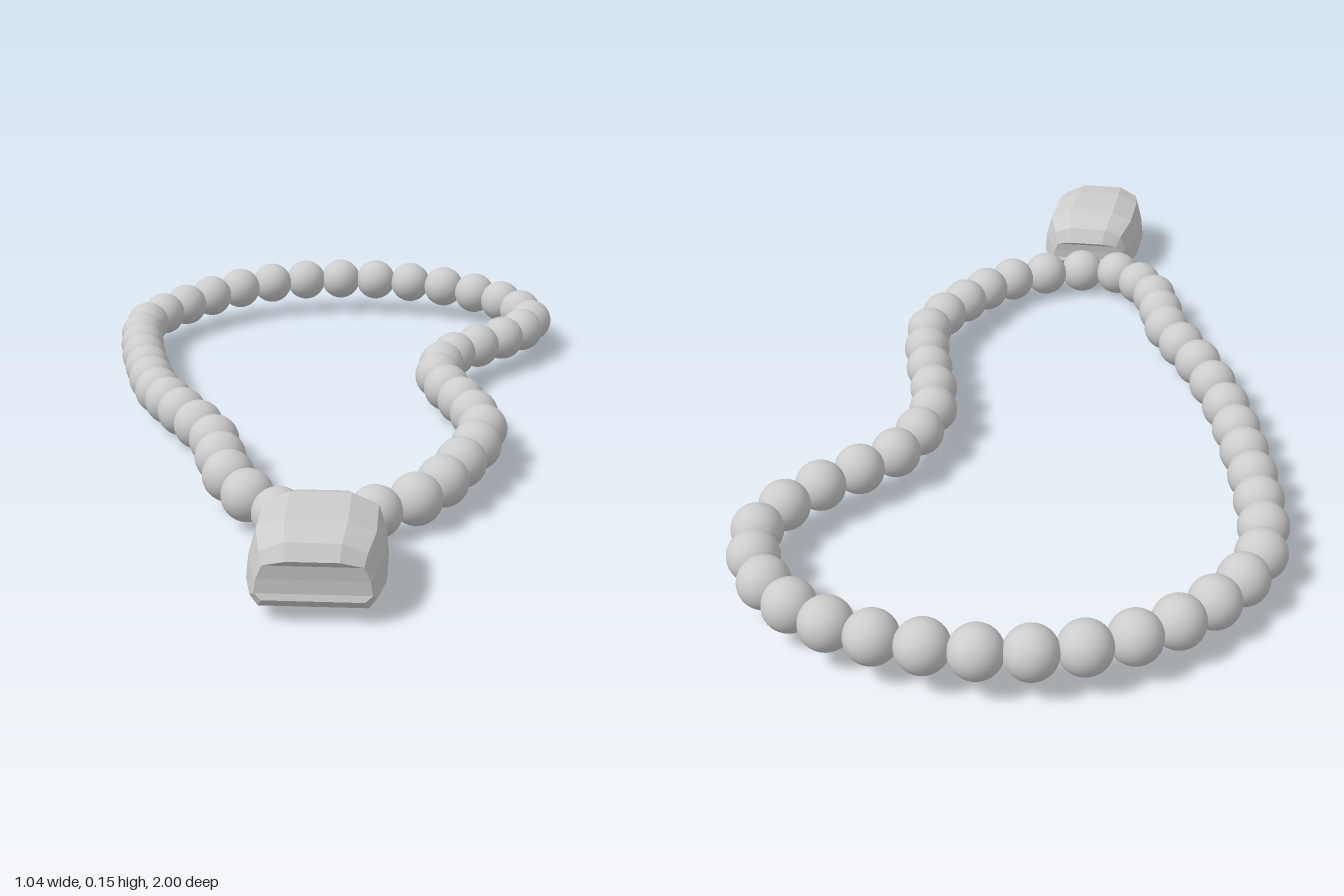
import * as THREE from 'three';

const BEAD_COUNT = 45;
const BEAD_RADIUS = 0.05;

// Path of the string: x, y, z
const PATH = [
  [0.045, 0.05, 0.655], [0.2, 0.057, 0.565], [0.285, 0.07, 0.4], [0.33, 0.078, 0.225],
  [0.29, 0.078, 0.045], [0.24, 0.077, -0.135], [0.275, 0.073, -0.315], [0.39, 0.072, -0.46],
  [0.465, 0.07, -0.62], [0.4, 0.073, -0.795], [0.26, 0.08, -0.905], [0.08, 0.085, -0.95],
  [-0.105, 0.085, -0.94], [-0.27, 0.08, -0.865], [-0.395, 0.07, -0.73], [-0.47, 0.067, -0.56],
  [-0.455, 0.067, -0.375], [-0.415, 0.068, -0.195], [-0.365, 0.07, -0.02], [-0.29, 0.08, 0.15],
  [-0.2, 0.078, 0.32], [-0.15, 0.07, 0.5], [-0.045, 0.055, 0.645],
];

// Half profile of the clasp: across (of half width), up (of height)
const RIGHT = [[0.87, 0], [1, 0.15], [0.96, 0.5], [0.85, 0.84], [0.45, 1]];
const PROFILE = [...RIGHT, ...RIGHT.map(([u, v]) => [-u, v]).reverse()];

// Sections of the clasp: z, half width, bottom, top, how far the sides are swept back
const SECTIONS = [
  [0.705, 0.085, 0.045, 0.1, 0.015],
  [0.722, 0.097, 0.028, 0.132, 0.01],
  [0.785, 0.117, 0.025, 0.153, 0],
  [0.908, 0.117, 0.025, 0.153, 0],
  [0.984, 0.104, 0.027, 0.142, -0.01],
  [1.0, 0.097, 0.042, 0.115, -0.014],
];

function claspGeometry() {
  const n = PROFILE.length;
  const positions = [];
  const index = [];
  for (const [z, half, bottom, top, sweep] of SECTIONS) {
    for (const [u, v] of PROFILE) {
      const side = Math.max(0, (Math.abs(u) - 0.45) / 0.55);
      positions.push(u * half, bottom + v * (top - bottom), z + sweep * side);
    }
  }
  const last = (SECTIONS.length - 1) * n;
  for (let s = 0; s < last; s += n) {
    for (let j = 0; j < n; j++) {
      const k = (j + 1) % n;
      index.push(s + j, s + k, s + n + k, s + j, s + n + k, s + n + j);
    }
  }
  // End faces, joined straight across from side to side
  for (let j = 0; j < n / 2 - 1; j++) {
    const a = j, b = j + 1, c = n - 2 - j, d = n - 1 - j;
    index.push(last + a, last + b, last + c, last + a, last + c, last + d);
    index.push(a, c, b, a, d, c);
  }
  const indexed = new THREE.BufferGeometry();
  indexed.setAttribute('position', new THREE.Float32BufferAttribute(positions, 3));
  indexed.setIndex(index);
  const geometry = indexed.toNonIndexed(); // flat facets
  geometry.computeVertexNormals();
  return geometry;
}

export function createModel() {
  const model = new THREE.Group();
  model.name = 'beadBracelet';
  const silver = new THREE.MeshStandardMaterial({ color: 0xcccccc });
  silver.name = 'silver grey';

  // Beads spaced evenly round the closed path
  const beads = new THREE.Group();
  beads.name = 'beads';
  const curve = new THREE.CatmullRomCurve3(PATH.map((p) => new THREE.Vector3(...p)), true);
  const sphere = new THREE.SphereGeometry(BEAD_RADIUS, 32, 20);
  curve.getSpacedPoints(BEAD_COUNT).slice(0, BEAD_COUNT).forEach((point, i) => {
    const bead = new THREE.Mesh(sphere, silver);
    bead.name = `bead${i + 1}`;
    bead.position.copy(point);
    beads.add(bead);
  });
  model.add(beads);

  // Faceted clasp at the front
  const clasp = new THREE.Mesh(claspGeometry(), silver);
  clasp.name = 'clasp';
  clasp.position.x = 0.042;
  model.add(clasp);

  return model;
}
